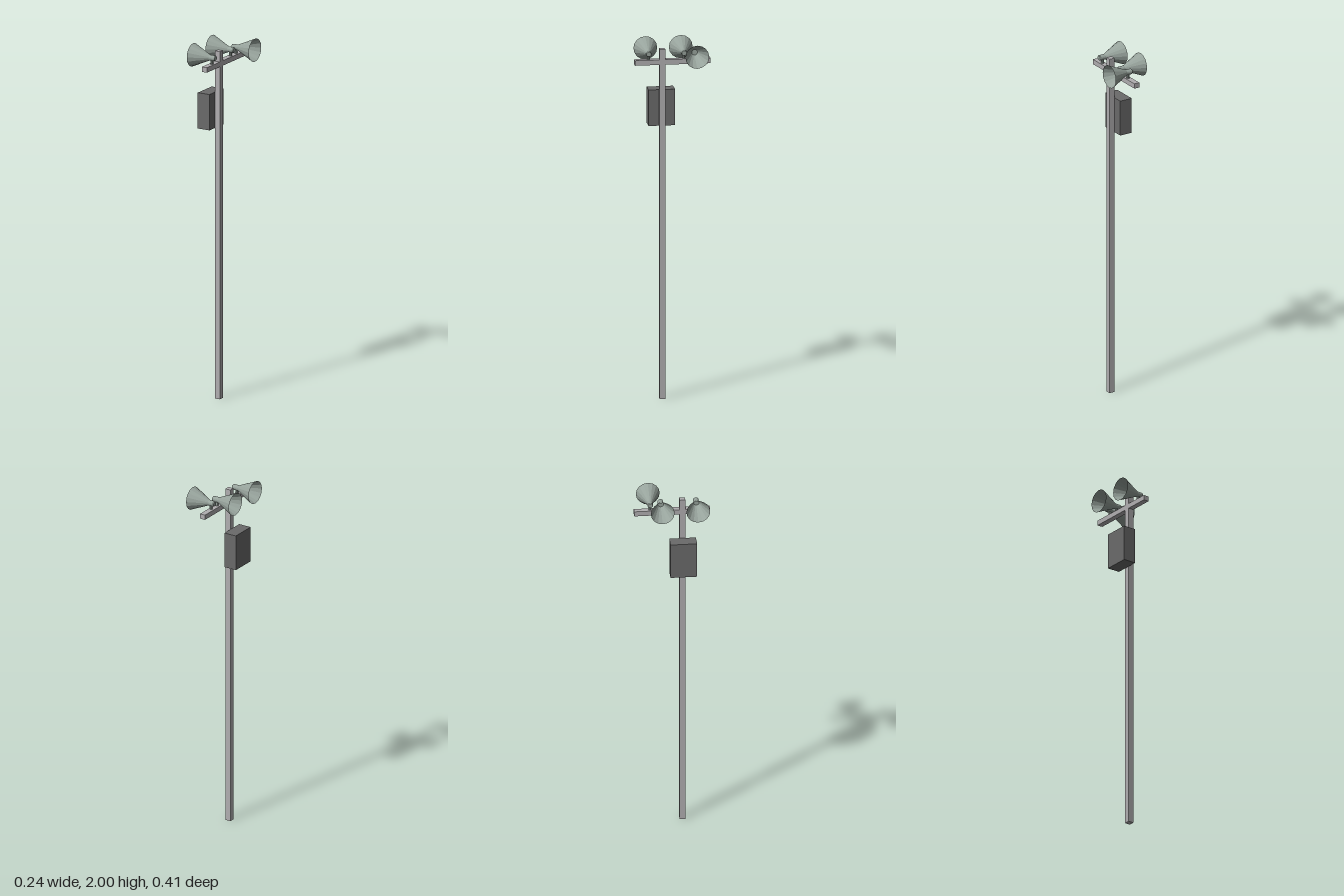
import * as THREE from 'three';

export function createModel() {
  const model = new THREE.Group();
  model.name = 'loudspeakerPole';

  const poleMat = new THREE.MeshStandardMaterial({ color: 0xb0aeb0 });
  const boxMat = new THREE.MeshStandardMaterial({ color: 0x6a6a6a });
  const hornMat = new THREE.MeshStandardMaterial({ color: 0x97a39c, flatShading: true, side: THREE.DoubleSide });

  const add = (name, geometry, material, x, y, z, parent = model) => {
    const mesh = new THREE.Mesh(geometry, material);
    mesh.name = name;
    mesh.position.set(x, y, z);
    parent.add(mesh);
    return mesh;
  };

  const barX = -0.002, poleZ = 0.055, hornY = 1.9375;

  // Square pole, crossbar and control cabinet
  add('pole', new THREE.BoxGeometry(0.032, 1.96, 0.031), poleMat, barX, 0.98, poleZ);
  add('crossbar', new THREE.BoxGeometry(0.032, 0.028, 0.414), poleMat, barX, 1.888, -0.001);
  add('controlBox', new THREE.BoxGeometry(0.074, 0.202, 0.145), boxMat, -0.055, 1.626, poleZ);

  // Horn profile along its axis: bevelled driver cap, neck, straight flare
  const profile = [
    [0, -0.024], [0.013, -0.024], [0.0155, -0.02], [0.0155, 0.012], [0.065, 0.12],
  ].map(([r, h]) => new THREE.Vector2(r, h));
  const hornGeo = new THREE.LatheGeometry(profile, 16);
  hornGeo.rotateZ(-Math.PI / 2);
  // Flat plate closing the throat inside the horn
  const throatGeo = new THREE.CircleGeometry(0.0155, 16).rotateY(Math.PI / 2);
  const standGeo = new THREE.CylinderGeometry(0.008, 0.008, 0.03, 8);

  // Horns on the crossbar: [z, facing direction along x]
  [[-0.121, 1], [-0.063, -1], [0.131, -1]].forEach(([z, dir]) => {
    const speaker = new THREE.Group();
    speaker.name = 'hornSpeaker';
    speaker.position.set(0, hornY, z);
    speaker.rotation.y = dir > 0 ? 0 : Math.PI;
    add('horn', hornGeo, hornMat, 0, 0, 0, speaker);
    add('throat', throatGeo, hornMat, 0.012, 0, 0, speaker);
    add('hornStand', standGeo, hornMat, 0, -0.026, 0, speaker);
    model.add(speaker);
  });

  return model;
}
